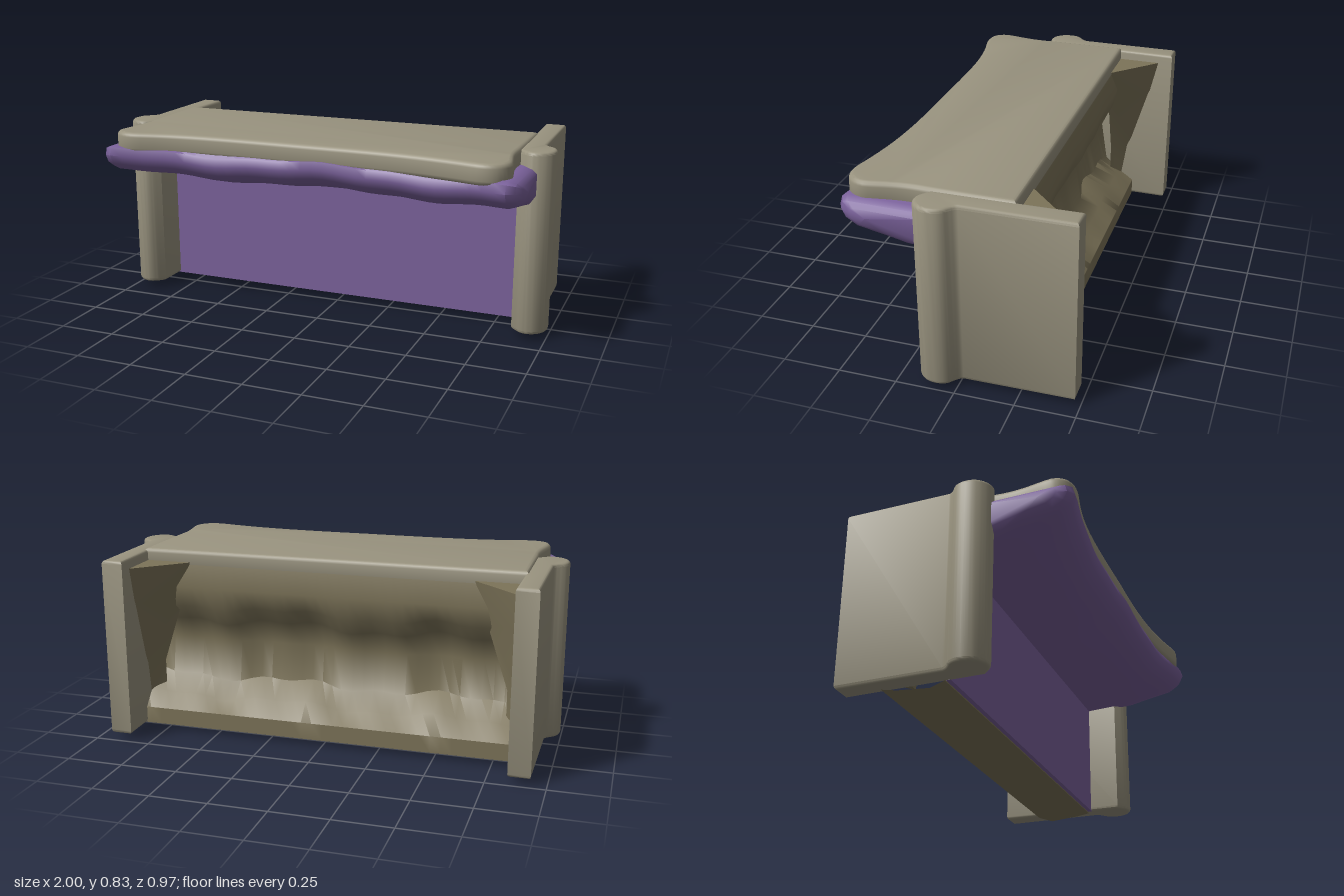
import * as THREE from 'three';
import { toCreasedNormals } from 'three/addons/utils/BufferGeometryUtils.js';

const stone = new THREE.MeshStandardMaterial({ color: 0x99937f });
const darkStone = new THREE.MeshStandardMaterial({ color: 0x7d7459 });
const cloth = new THREE.MeshStandardMaterial({ color: 0x7b629c });

function part(name, geometry, material) {
  const mesh = new THREE.Mesh(geometry, material);
  mesh.name = name;
  return mesh;
}

// Extrude a plan outline (drawn in x, -z) upwards from y0 to y1 with a soft edge
function plan(shape, y0, y1, bevel) {
  const g = new THREE.ExtrudeGeometry(shape, {
    depth: y1 - y0 - 2 * bevel, bevelEnabled: true, bevelThickness: bevel,
    bevelSize: bevel, bevelOffset: -bevel, bevelSegments: 3, curveSegments: 10,
  });
  g.rotateX(-Math.PI / 2).translate(0, y0 + bevel, 0);
  return toCreasedNormals(g, 0.7);
}

// Skin of (z, y) cross-sections placed along x
function loft(xs, section) {
  const pos = [], index = [];
  let n = 0;
  xs.forEach((x) => {
    const pts = section(x);
    n = pts.length;
    pts.forEach(([z, y]) => pos.push(x, y, z));
  });
  for (let i = 0; i < xs.length - 1; i++) {
    for (let j = 0; j < n; j++) {
      const a = i * n + j, b = i * n + (j + 1) % n;
      index.push(a, b, b + n, a, b + n, a + n);
    }
  }
  const g = new THREE.BufferGeometry();
  g.setAttribute('position', new THREE.Float32BufferAttribute(pos, 3));
  g.setIndex(index);
  return toCreasedNormals(g, 0.75);
}

const steps = (a, b, n) => Array.from({ length: n + 1 }, (_, i) => a + (b - a) * i / n);
const frontEdge = (x) => 0.415 + 0.06 * Math.pow(Math.abs(x) / 0.86, 3);

// Side panel whose front edge swells into a rounded pillar
function sideShape(s) {
  const p = new THREE.Shape();
  p.moveTo(s * 0.84, 0.48);
  p.lineTo(s * 0.935, 0.48);
  p.lineTo(s * 0.94, 0.02);
  p.bezierCurveTo(s * 0.955, -0.02, s * 1.0, -0.01, s * 1.0, -0.08);
  p.bezierCurveTo(s * 1.0, -0.13, s * 0.96, -0.165, s * 0.92, -0.165);
  p.bezierCurveTo(s * 0.89, -0.165, s * 0.87, -0.14, s * 0.85, -0.12);
  p.closePath();
  return p;
}

// Counter outline with flared, rounded front corners
function counterShape() {
  const p = new THREE.Shape();
  p.moveTo(-0.86, 0.22);
  p.lineTo(-0.86, -0.14);
  p.bezierCurveTo(-0.85, -0.26, -0.88, -0.32, -0.885, -0.39);
  p.bezierCurveTo(-0.88, -0.46, -0.82, -0.48, -0.74, -0.46);
  p.bezierCurveTo(-0.55, -0.41, -0.4, -0.41, 0, -0.415);
  p.bezierCurveTo(0.4, -0.41, 0.55, -0.43, 0.74, -0.475);
  p.bezierCurveTo(0.82, -0.495, 0.88, -0.46, 0.885, -0.39);
  p.bezierCurveTo(0.88, -0.32, 0.85, -0.26, 0.86, -0.14);
  p.lineTo(0.86, 0.22);
  p.closePath();
  return p;
}

// Corner brace: triangular wedge tapering downwards inside the back
function braceGeometry(s) {
  const rings = [[0.77, 0.25, 0.22], [0.6, 0.18, 0.18], [0.3, 0.08, 0.09], [0.04, 0.08, 0.05]];
  const pos = [], index = [];
  rings.forEach(([y, w, d]) => pos.push(
    s * 0.87, y, -0.2, s * (0.87 - w), y, -0.2, s * 0.87, y, -0.22 - d));
  const add = (a, b, c) => (s > 0 ? index.push(a, b, c) : index.push(a, c, b));
  for (let i = 0; i < rings.length - 1; i++) {
    for (let j = 0; j < 3; j++) {
      const a = i * 3 + j, b = i * 3 + (j + 1) % 3;
      add(a, b, b + 3);
      add(a, b + 3, a + 3);
    }
  }
  add(0, 2, 1);
  const last = 3 * (rings.length - 1);
  add(last, last + 1, last + 2);
  const g = new THREE.BufferGeometry();
  g.setAttribute('position', new THREE.Float32BufferAttribute(pos, 3));
  g.setIndex(index);
  return toCreasedNormals(g, 0.7);
}

export function createModel() {
  const group = new THREE.Group();
  group.name = 'counter';

  // Mirrored side panels and rear braces
  for (const [s, side] of [[1, 'left'], [-1, 'right']]) {
    group.add(part(side + 'SidePanel', plan(sideShape(s), 0.025, 0.815, 0.015), stone));
    const brace = part(side + 'Brace', braceGeometry(s), darkStone);
    brace.material = darkStone.clone();
    brace.material.side = THREE.DoubleSide;
    group.add(brace);
  }

  // Counter slab
  group.add(part('counterTop', plan(counterShape(), 0.735, 0.825, 0.02), stone));

  // Wall with a hollowed back and a ledge at the foot
  group.add(part('backWall', loft(steps(-0.87, 0.87, 36), (x) => {
    const lump = 0.012 * Math.sin(x * 9) + 0.008 * Math.sin(x * 23);
    return [
      [-0.22, 0.76], [-0.04, 0.76], [-0.04, 0.02], [-0.1, 0.005 + lump * 0.3],
      [-0.24, 0.005 - lump * 0.3], [-0.31, 0.025], [-0.31, 0.1], [-0.24, 0.16 + lump],
      [-0.15 + lump, 0.23 + lump], [-0.12 + lump, 0.4], [-0.16 + lump, 0.5 + lump],
      [-0.22, 0.57 + lump], [-0.24, 0.66],
    ];
  }), darkStone));

  // Cloth front panel
  const panel = new THREE.BoxGeometry(1.72, 0.58, 0.03);
  panel.translate(0, 0.315, -0.035);
  group.add(part('frontPanel', panel, cloth));

  // Cloth valance bulging below the counter, closed and rounded at both ends
  const xs = [-0.945, -0.935, -0.915, ...steps(-0.88, 0.88, 36), 0.915, 0.935, 0.945];
  group.add(part('valance', loft(xs, (x) => {
    const t = Math.max(0, (Math.abs(x) - 0.88) / 0.065);
    const k = Math.sqrt(Math.max(0, 1 - t * t));
    const f = frontEdge(Math.min(0.86, Math.abs(x)));
    const w = 0.01 * Math.sin(x * 7 + 1) + 0.004 * Math.sin(x * 19);
    const pts = [
      [-0.05, 0.75], [f - 0.02, 0.76], [f + 0.005, 0.745 + w], [f + 0.015, 0.71 + w],
      [f - 0.005, 0.67 + w], [f - 0.06, 0.635 + w], [0.26, 0.605 + w], [0.17, 0.59], [-0.05, 0.575],
    ];
    return pts.map(([z, y]) => [0.36 + (z - 0.36) * k, 0.7 + (y - 0.7) * k]);
  }), cloth));

  return group;
}
